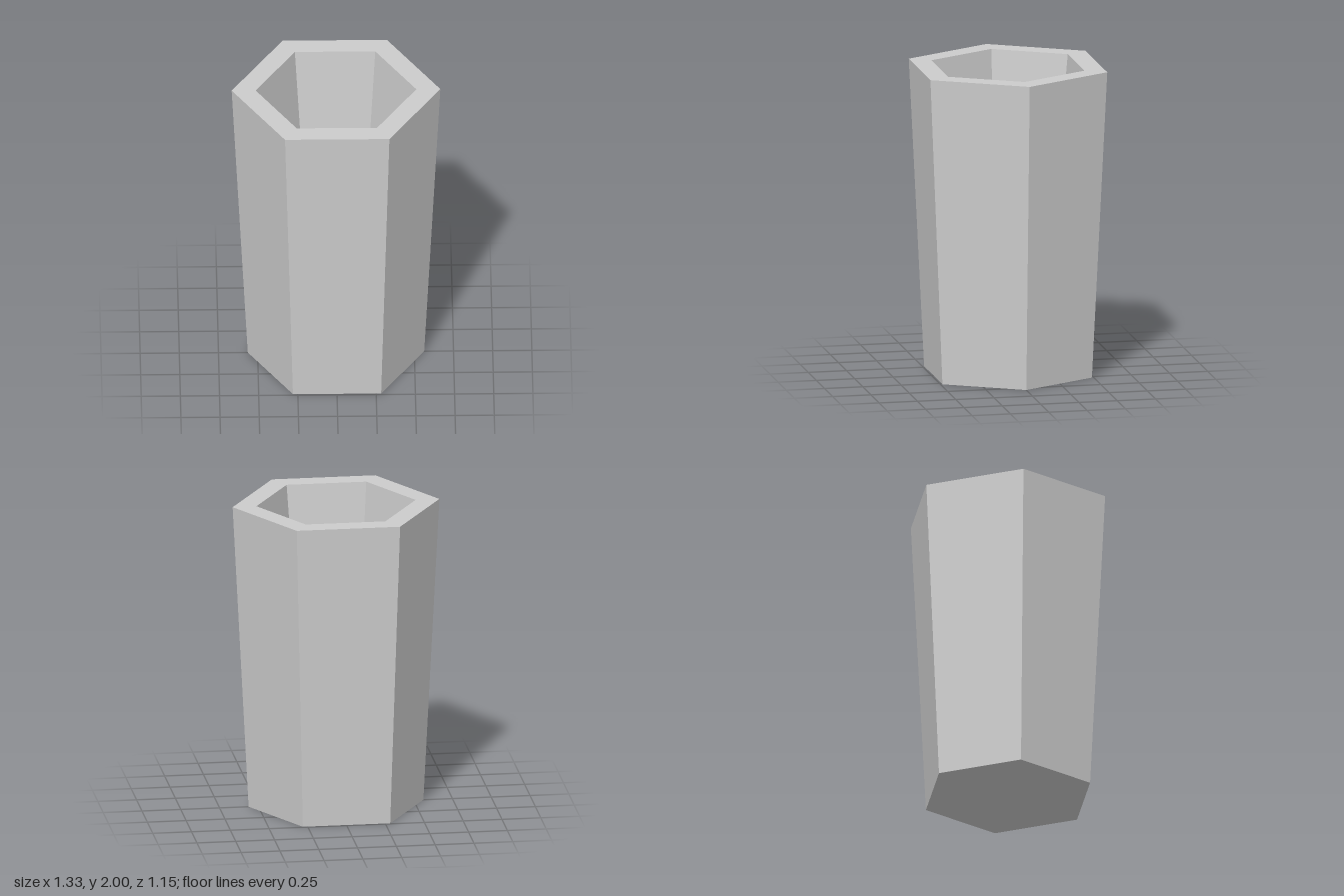
import * as THREE from 'three';

export function createModel() {
  const group = new THREE.Group();
  group.name = 'hexagonalCup';

  // Closed profile: underside, outer wall, rim, tapered cavity, cavity floor
  const profile = [
    [0, 0],
    [0.563, 0],
    [0.666, 2],
    [0.513, 2],
    [0.34, 0.5],
    [0, 0.5],
  ].map(([r, y]) => new THREE.Vector2(r, y));

  // Six flat sides, with corners on the x axis
  const cup = new THREE.Mesh(
    new THREE.LatheGeometry(profile, 6, Math.PI / 2),
    new THREE.MeshStandardMaterial({ color: 0xcccccc, flatShading: true })
  );
  cup.name = 'cup';
  group.add(cup);
  return group;
}
